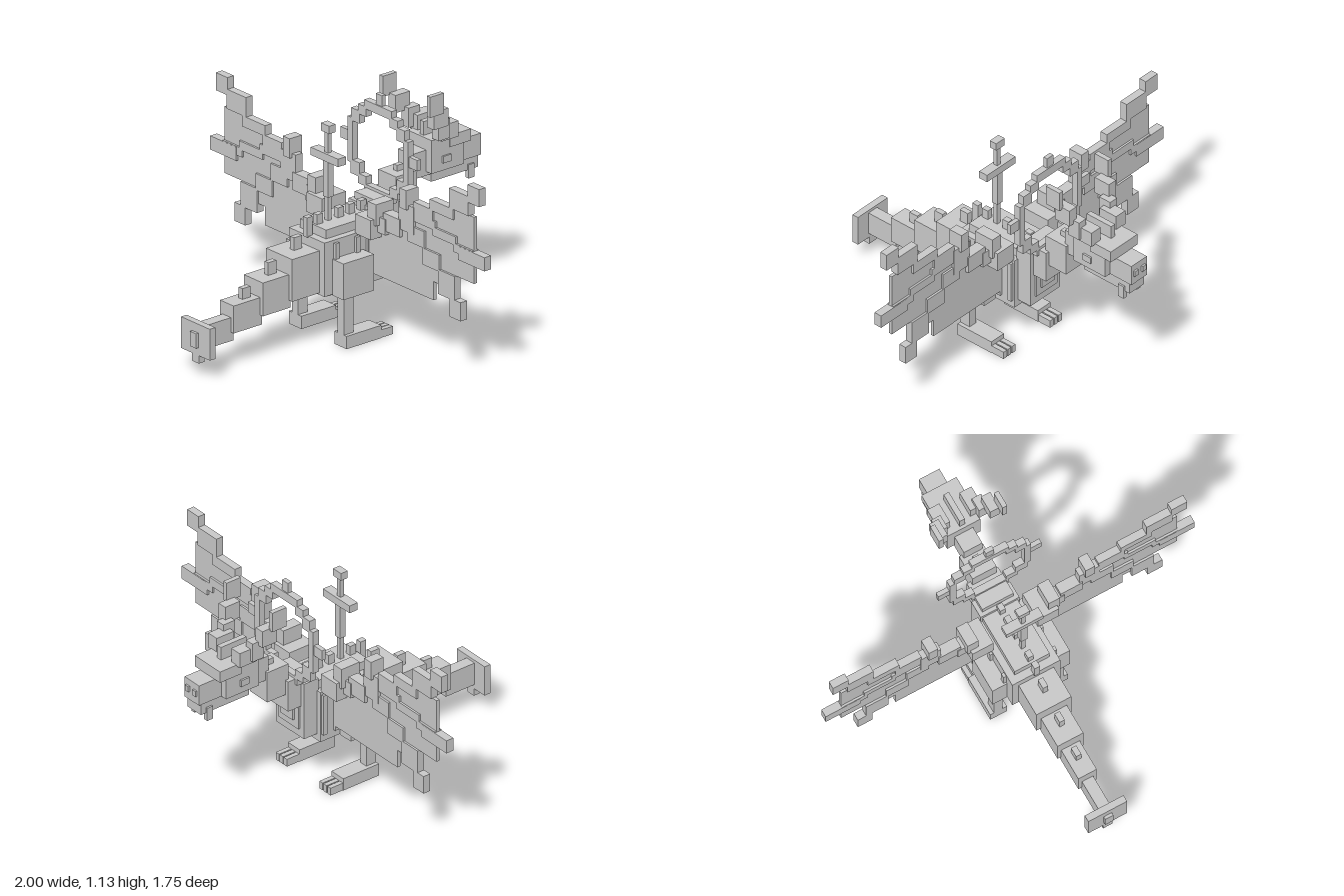
import * as THREE from 'three';

const stone = new THREE.MeshStandardMaterial({ color: 0xc8c8c8 });
stone.name = 'lightGrey';

// Box from its limits [x0, x1, y0, y1, z0, z1]
function block(parent, name, [x0, x1, y0, y1, z0, z1]) {
  const mesh = new THREE.Mesh(new THREE.BoxGeometry(x1 - x0, y1 - y0, z1 - z0), stone);
  mesh.position.set((x0 + x1) / 2, (y0 + y1) / 2, (z0 + z1) / 2);
  mesh.name = name;
  parent.add(mesh);
}
// Box centred on x = 0, given by half width
const mid = (parent, name, w, ...r) => block(parent, name, [-w, w, ...r]);
// Box repeated on both sides
function pair(parent, name, [x0, x1, ...r]) {
  block(parent, name + 'Left', [x0, x1, ...r]);
  block(parent, name + 'Right', [-x1, -x0, ...r]);
}
function part(root, name) {
  const g = new THREE.Group();
  g.name = name;
  root.add(g);
  return g;
}

export function createModel() {
  const root = new THREE.Group();
  root.name = 'dragon';

  // Torso, belly, shoulders and chest plates
  const body = part(root, 'body');
  mid(body, 'torso', 0.13, 0.26, 0.535, -0.19, 0.17);
  mid(body, 'backRidge', 0.095, 0.535, 0.58, -0.2, 0.13);
  mid(body, 'belly', 0.105, 0.245, 0.27, -0.14, 0.13);
  mid(body, 'chest', 0.105, 0.295, 0.6, -0.27, -0.18);
  mid(body, 'chestPlate', 0.075, 0.34, 0.5, -0.28, -0.27);
  mid(body, 'chestPlateInner', 0.045, 0.38, 0.46, -0.29, -0.28);
  for (const z of [0.1, -0.03, -0.1, -0.17]) {
    pair(body, 'rib', [0.13, 0.145, 0.3, 0.52, z - 0.012, z + 0.012]);
    mid(body, 'backSpike', 0.015, 0.58, 0.63, z - 0.018, z + 0.018);
  }
  mid(body, 'rumpSpike', 0.015, 0.53, 0.63, 0.145, 0.18);

  // Tail: [half width, y0, y1, z0, z1]
  const tail = part(root, 'tail');
  [
    [0.095, 0.27, 0.485, 0.17, 0.34], [0.07, 0.23, 0.4, 0.33, 0.5],
    [0.05, 0.18, 0.32, 0.49, 0.665], [0.03, 0.135, 0.255, 0.65, 0.83],
    [0.105, 0.11, 0.27, 0.825, 0.86], [0.025, 0.07, 0.11, 0.825, 0.86],
    [0.022, 0.15, 0.225, 0.86, 0.875],
  ].forEach((s) => mid(tail, 'tailSegment', ...s));
  [[0.485, 0.55, 0.235], [0.4, 0.465, 0.395], [0.32, 0.375, 0.555]].forEach(([a, b, z]) =>
    mid(tail, 'tailSpike', 0.014, a, b, z - 0.025, z + 0.025));

  // Neck
  const neck = part(root, 'neck');
  mid(neck, 'neckBase', 0.085, 0.47, 0.635, -0.35, -0.2);
  mid(neck, 'neckMiddle', 0.065, 0.555, 0.72, -0.46, -0.33);
  mid(neck, 'neckTop', 0.05, 0.67, 0.8, -0.56, -0.44);
  mid(neck, 'neckSpike', 0.014, 0.72, 0.75, -0.42, -0.38);

  // Head
  const head = part(root, 'head');
  mid(head, 'skull', 0.09, 0.69, 0.86, -0.73, -0.53);
  mid(head, 'brow', 0.095, 0.8, 0.86, -0.77, -0.64);
  mid(head, 'snout', 0.055, 0.69, 0.8, -0.865, -0.73);
  mid(head, 'jaw', 0.05, 0.63, 0.69, -0.85, -0.56);
  mid(head, 'crest', 0.014, 0.86, 0.93, -0.7, -0.545);
  pair(head, 'eye', [0.09, 0.1, 0.73, 0.765, -0.645, -0.595]);
  pair(head, 'nostril', [0.015, 0.04, 0.735, 0.765, -0.875, -0.865]);
  pair(head, 'fang', [0.035, 0.06, 0.59, 0.66, -0.82, -0.785]);
  pair(head, 'hornBase', [0.055, 0.12, 0.855, 0.935, -0.67, -0.565]);
  pair(head, 'hornLower', [0.085, 0.135, 0.87, 0.97, -0.605, -0.535]);
  pair(head, 'hornUpper', [0.115, 0.165, 0.95, 1.04, -0.57, -0.48]);
  pair(head, 'hornTip', [0.16, 0.185, 1.03, 1.135, -0.525, -0.44]);

  // Legs with three toes each
  const legs = part(root, 'legs');
  pair(legs, 'thigh', [0.13, 0.21, 0.255, 0.44, -0.07, 0.12]);
  pair(legs, 'shin', [0.145, 0.19, 0.06, 0.255, 0.04, 0.1]);
  pair(legs, 'foot', [0.12, 0.21, 0, 0.065, -0.115, 0.1]);
  for (const x of [0.135, 0.165, 0.195])
    pair(legs, 'toe', [x - 0.012, x + 0.012, 0, 0.04, -0.19, -0.115]);

  // Wings: bones as [x0, x1, y0, y1, half depth]
  const wings = part(root, 'wings');
  const WZ = -0.103;
  const wing = (name, list) => list.forEach(([a, b, c, d, h]) =>
    pair(wings, name, [a, b, c, d, WZ - h, WZ + h]));
  wing('wingRoot', [[0.12, 0.235, 0.53, 0.63, 0.075], [0.19, 0.25, 0.6, 0.71, 0.055]]);
  wing('wingArm', [
    [0.235, 0.29, 0.56, 0.64, 0.032], [0.27, 0.39, 0.58, 0.67, 0.028],
    [0.375, 0.485, 0.62, 0.76, 0.022], [0.4, 0.45, 0.74, 0.84, 0.038],
  ]);
  wing('upperFinger', [
    [0.48, 0.62, 0.735, 0.79, 0.02], [0.6, 0.77, 0.785, 0.84, 0.02],
    [0.74, 0.88, 0.84, 0.94, 0.02], [0.875, 0.96, 0.91, 1.0, 0.02],
  ]);
  wing('middleFinger', [
    [0.48, 0.64, 0.69, 0.735, 0.02], [0.62, 0.79, 0.66, 0.705, 0.02],
    [0.77, 0.91, 0.625, 0.67, 0.02], [0.81, 1.0, 0.595, 0.665, 0.021],
  ]);
  wing('lowerFinger', [
    [0.44, 0.56, 0.575, 0.66, 0.02], [0.55, 0.67, 0.49, 0.575, 0.02],
    [0.66, 0.78, 0.375, 0.5, 0.02], [0.745, 0.825, 0.285, 0.38, 0.02],
  ]);
  wing('membrane', [
    [0.13, 0.615, 0.325, 0.55, 0.009], [0.235, 0.5, 0.55, 0.62, 0.009],
    [0.48, 0.615, 0.55, 0.76, 0.009], [0.615, 0.91, 0.5, 0.84, 0.009],
    [0.615, 0.69, 0.42, 0.5, 0.009],
  ]);

  // Upright stepped ring behind the neck, with thinner studs
  const ring = part(root, 'ring');
  const RZ = [-0.307, -0.272];
  const SZ = [-0.301, -0.278];
  mid(ring, 'ringTop', 0.1, 1.035, 1.08, ...RZ);
  mid(ring, 'ringTopStud', 0.022, 1.08, 1.135, ...SZ);
  mid(ring, 'ringBottom', 0.1, 0.605, 0.65, ...RZ);
  pair(ring, 'ringSideStud', [0.22, 0.28, 0.83, 0.885, ...SZ]);
  [
    [0.085, 0.145, 0.995, 1.045], [0.135, 0.195, 0.945, 1.01], [0.185, 0.22, 0.73, 0.96],
    [0.135, 0.2, 0.675, 0.745], [0.085, 0.145, 0.64, 0.69],
  ].forEach((b) => pair(ring, 'ringStep', [...b, ...RZ]));

  // Standing staff on the back
  const staff = part(root, 'staff');
  mid(staff, 'staffPost', 0.012, 0.57, 1.04, 0.025, 0.047);
  mid(staff, 'staffGrip', 0.018, 0.7, 0.89, 0.018, 0.053);
  mid(staff, 'staffCrossbar', 0.1, 0.885, 0.925, 0.01, 0.06);
  mid(staff, 'staffCap', 0.03, 1.03, 1.07, 0.015, 0.055);

  return root;
}
